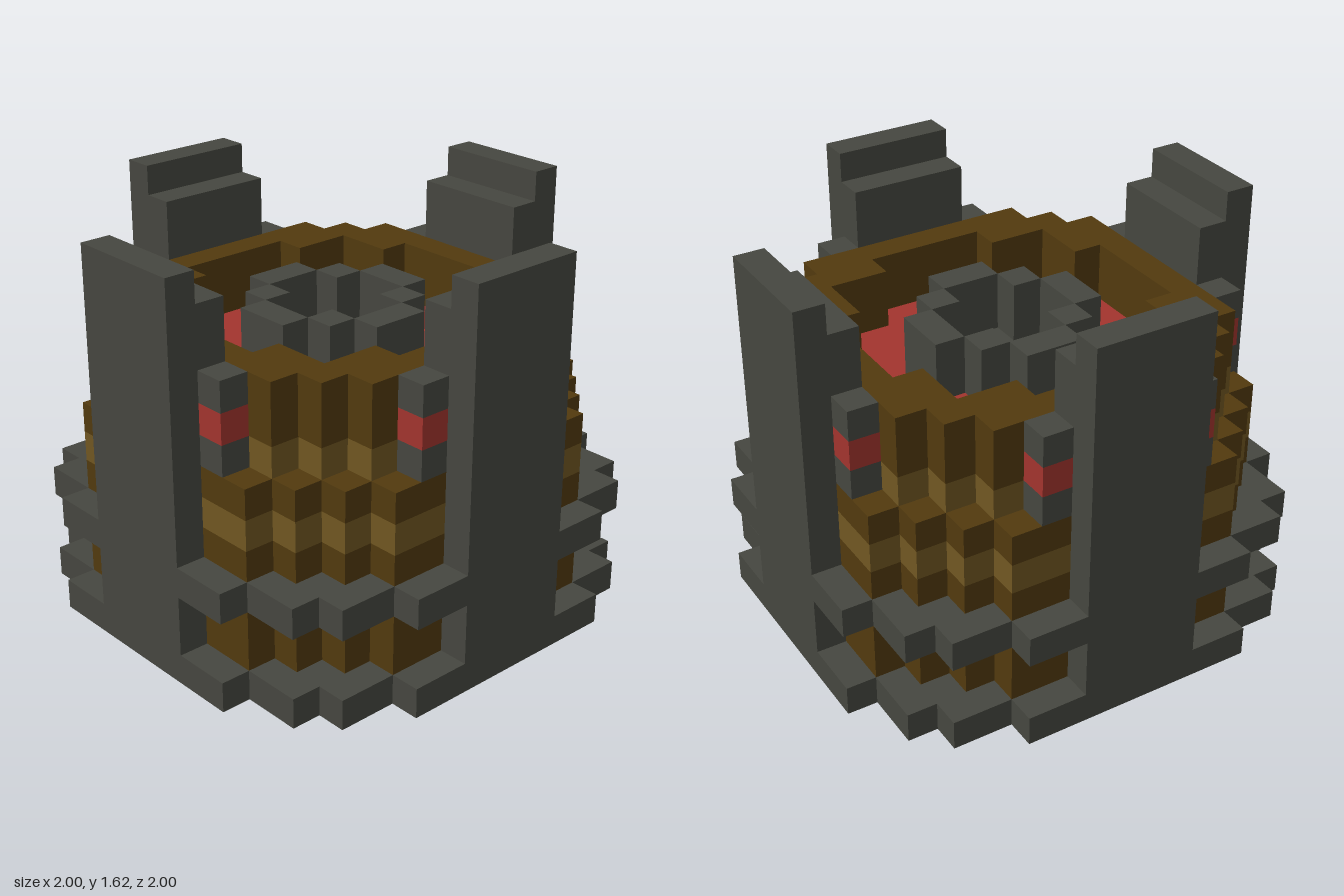
import * as THREE from 'three';

const U = 0.125; // size of one block

const material = (name, color) => {
  const m = new THREE.MeshStandardMaterial({ color });
  m.name = name;
  return m;
};

// Stepped round outline; halfWidths[k] is the half width of the k-th row from the middle
function steppedOutline(halfWidths, PathType = THREE.Shape) {
  const n = halfWidths.length;
  const right = [];
  for (let row = -n; row < n; row++) {
    const w = halfWidths[row < 0 ? -1 - row : row];
    if (right.length && right[right.length - 1].x === w * U) right.pop();
    else right.push(new THREE.Vector2(w * U, row * U));
    right.push(new THREE.Vector2(w * U, (row + 1) * U));
  }
  const left = right.map((p) => new THREE.Vector2(-p.x, p.y)).reverse();
  return new PathType([...right, ...left]);
}

export function createModel() {
  const stone = material('dark stone', 0x464740);
  const wood = material('dark wood', 0x523a0e);
  const lightWood = material('light wood', 0x715722);
  const red = material('red', 0xa3342e);
  const model = new THREE.Group();
  model.name = 'stoneFramedVessel';

  // Horizontal layer from block level y0 to y1, optionally hollow
  function layer(name, mat, rows, y0, y1, holeRows) {
    const shape = steppedOutline(rows);
    if (holeRows) shape.holes.push(steppedOutline(holeRows, THREE.Path));
    const geo = new THREE.ExtrudeGeometry(shape, { depth: (y1 - y0) * U, bevelEnabled: false });
    geo.rotateX(-Math.PI / 2);
    const mesh = new THREE.Mesh(geo, mat);
    mesh.position.y = y0 * U;
    mesh.name = name;
    model.add(mesh);
  }

  // Box between two corners given in blocks
  function block(parent, name, mat, [x0, y0, z0], [x1, y1, z1]) {
    const mesh = new THREE.Mesh(new THREE.BoxGeometry((x1 - x0) * U, (y1 - y0) * U, (z1 - z0) * U), mat);
    mesh.position.set(((x0 + x1) / 2) * U, ((y0 + y1) / 2) * U, ((z0 + z1) / 2) * U);
    mesh.name = name;
    parent.add(mesh);
  }

  const rim = [8, 8, 8, 8, 7, 7, 6, 4];
  const lower = [7, 7, 7, 7, 6, 5, 4];
  const upper = [6, 6, 6, 6, 5, 4];
  const opening = [5, 5, 4, 4, 2];
  const ringOuter = [3, 2, 1];
  const ringInner = [2, 1];

  // Base, lower body and its hoop
  layer('base', stone, rim, 0, 1);
  layer('lowerWall', wood, lower, 1, 3);
  layer('hoop', stone, rim, 3, 4);
  layer('middleWall', wood, lower, 4, 5);
  layer('middleStripe', lightWood, lower, 5, 6);
  layer('shoulder', wood, lower, 6, 7);

  // Hollow upper body with its floor
  layer('upperStripe', lightWood, upper, 7, 8, opening);
  layer('upperWall', wood, upper, 8, 10, opening);
  layer('floor', red, opening, 7, 8, ringOuter);

  // Central stone ring
  layer('ringFloor', stone, ringOuter, 7, 8);
  layer('centreRing', stone, ringOuter, 8, 10, ringInner);

  // Four pillars, each flanked by two banded posts
  for (let i = 0; i < 4; i++) {
    const side = new THREE.Group();
    side.name = `pillarSide${i + 1}`;
    side.rotation.y = (i * Math.PI) / 2;
    block(side, 'pillar', stone, [-2, 0, 7], [2, 13, 8]);
    block(side, 'pillarBacking', stone, [-2, 7, 6], [2, 12, 7]);
    for (const x of [-3, 2]) {
      block(side, 'postFoot', stone, [x, 7, 6], [x + 1, 8, 7]);
      block(side, 'postBand', red, [x, 8, 6], [x + 1, 9, 7]);
      block(side, 'postCap', stone, [x, 9, 6], [x + 1, 10, 7]);
    }
    model.add(side);
  }
  return model;
}
